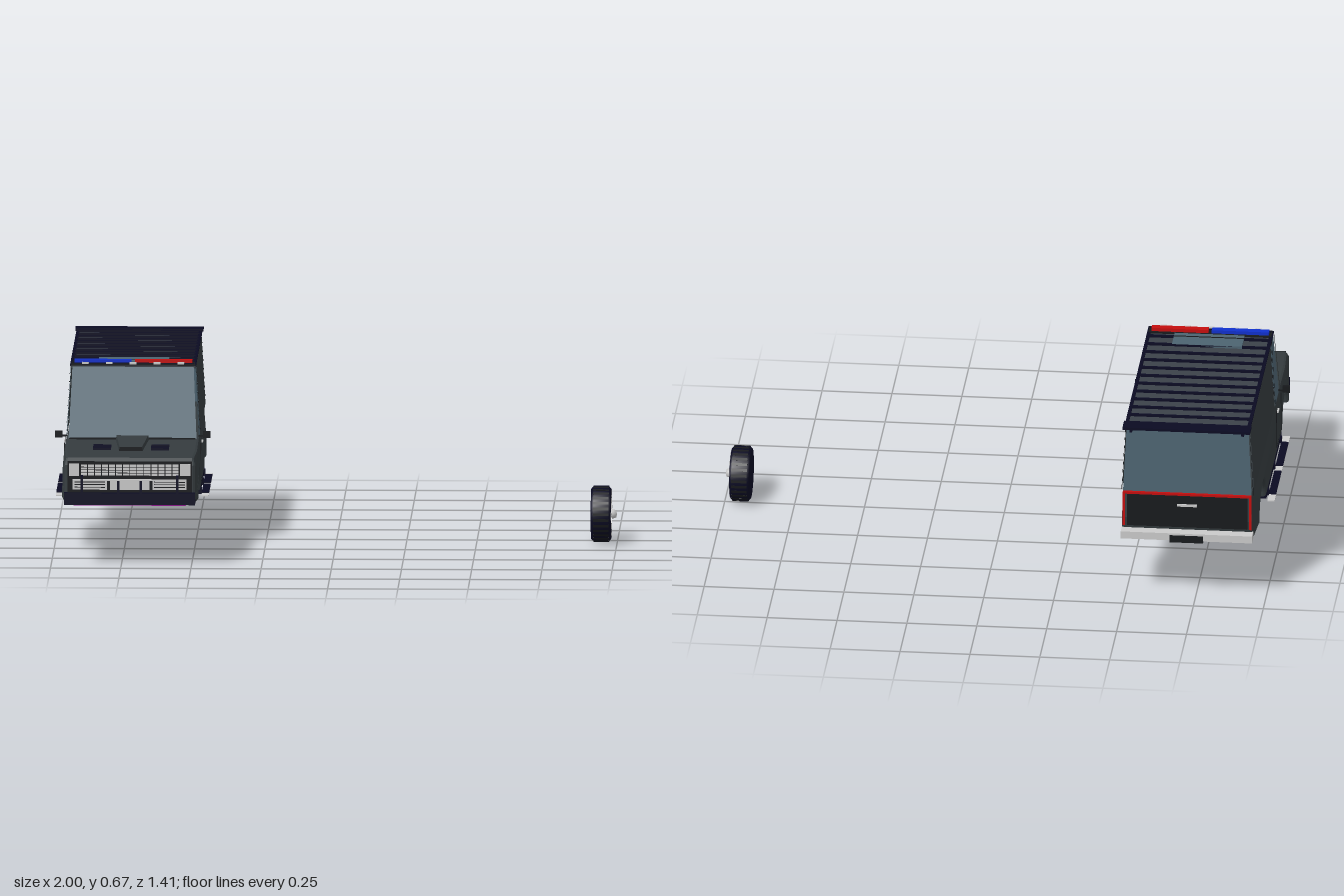
import * as THREE from 'three';

const mat = (name, color) => {
  const m = new THREE.MeshStandardMaterial({ color, side: THREE.DoubleSide });
  m.name = name;
  return m;
};

export function createModel() {
  const body = mat('bodyGrey', 0x343b3e), roofGrey = mat('roofGrey', 0x3b4149);
  const navy = mat('navyBlack', 0x0a0a22), black = mat('trimBlack', 0x17191c);
  const glass = mat('glass', 0x4c6370), silver = mat('silver', 0xc9c9c9);
  const red = mat('red', 0xc40d0d), blue = mat('blue', 0x1030cc), magenta = mat('magenta', 0x8c0a8c);

  const model = new THREE.Group();
  const truck = new THREE.Group();
  truck.name = 'truck';
  truck.position.x = -0.72;
  model.add(truck);

  const add = (name, geo, m, parent = truck) => {
    const mesh = new THREE.Mesh(geo, m);
    mesh.name = name;
    parent.add(mesh);
    return mesh;
  };
  // Box given by its x, y and z ranges
  const box = (name, m, x0, x1, y0, y1, z0, z1) =>
    add(name, new THREE.BoxGeometry(x1 - x0, y1 - y0, z1 - z0)
      .translate((x0 + x1) / 2, (y0 + y1) / 2, (z0 + z1) / 2), m);
  // Flat convex plate from corner points
  const plate = (name, m, pts) => {
    const g = new THREE.BufferGeometry();
    const pos = [];
    for (let i = 1; i < pts.length - 1; i++) pos.push(...pts[0], ...pts[i], ...pts[i + 1]);
    g.setAttribute('position', new THREE.Float32BufferAttribute(pos, 3));
    g.computeVertexNormals();
    return add(name, g, m);
  };
  // Side outline (z, y) extruded across the width
  const across = (shape, width, bevel = 0) => new THREE.ExtrudeGeometry(shape, {
    depth: width - 2 * bevel, bevelEnabled: bevel > 0, bevelSize: bevel,
    bevelThickness: bevel, bevelSegments: 2, curveSegments: 20,
  }).translate(0, 0, bevel - width / 2).rotateY(-Math.PI / 2);

  // Lower body with open wheel arches
  const b = 0.01, archR = 0.127, floorY = 0.231;
  const s = new THREE.Shape();
  s.moveTo(-0.645, floorY);
  for (const z of [-0.383, 0.445]) {
    s.lineTo(z - archR, floorY);
    s.absellipse(z, floorY, archR, 0.104, Math.PI, 0, true);
  }
  s.lineTo(0.645, floorY);
  s.lineTo(0.66, 0.25);
  s.lineTo(0.66, 0.355);
  s.lineTo(0.64, 0.373);
  s.lineTo(0.5, 0.381);
  s.lineTo(0.28, 0.39);
  s.lineTo(-0.65, 0.39);
  s.lineTo(-0.658, 0.3);
  const lower = across(s, 0.486, b);
  // Taper the nose and tail a little in plan, and the sides toward the belt
  const p = lower.attributes.position;
  for (let i = 0; i < p.count; i++) {
    const end = Math.abs(p.getZ(i)) > 0.62 ? 0.965 : 1;
    const top = p.getY(i) > 0.37 ? 0.98 : 1;
    p.setX(i, p.getX(i) * end * top);
  }
  lower.computeVertexNormals();
  add('lowerBody', lower, body);
  for (const z of [-0.383, 0.445]) {
    const w = new THREE.Shape();
    w.absellipse(z, 0.222, 0.121, 0.105, 0, Math.PI, false);
    add('wheelWell', across(w, 0.44), navy);
  }
  box('underFloor', black, -0.2, 0.2, 0.215, 0.224, -0.64, 0.64);

  // Cabin: sides lean inward toward the roof
  const yB = 0.398, yT = 0.648;
  const sx = y => 0.236 - (y - yB) * 0.056;
  for (const d of [-1, 1]) {
    const side = (name, m, zy, out = 0) =>
      plate(name, m, zy.map(([z, y]) => [d * (sx(y) + out), y, z]));
    side('rearSidePanel', body, [[0.105, yB], [-0.633, yB], [-0.633, yT], [0.105, yT]]);
    side('doorWindow', glass, [[0.265, yB], [0.127, yB], [0.127, yT], [0.197, yT]]);
    side('windowFrameRear', black, [[0.13, yB], [0.122, yB], [0.122, yT], [0.13, yT]], 0.002);
    side('centrePillar', black, [[0.117, yB], [0.112, yB], [0.112, yT], [0.117, yT]]);
    side('frontPillar', body, [[0.292, yB], [0.278, yB], [0.202, yT], [0.214, yT]], 0.002);
    side('rearPillar', black, [[-0.65, yB], [-0.664, yB], [-0.656, yT], [-0.65, yT]]);
    // Door seams, handle and mirror
    const x = d * 0.2435, x0 = Math.min(x, x - d * 0.003), x1 = Math.max(x, x - d * 0.003);
    for (const z of [0.115, 0.282]) box('doorSeam', black, x0, x1, 0.245, 0.385, z - 0.0015, z + 0.0015);
    box('doorSeam', black, x0, x1, 0.243, 0.246, 0.115, 0.282);
    const h = d * 0.245;
    box('doorHandle', silver, h - 0.003, h + 0.003, 0.37, 0.377, 0.135, 0.162);
    box('mirrorArm', black, d * 0.25 - 0.015, d * 0.25 + 0.015, 0.404, 0.409, 0.25, 0.256);
    box('mirror', black, d * 0.264 - 0.013, d * 0.264 + 0.013, 0.4, 0.424, 0.248, 0.262);
    // Running boards
    const r = d * 0.259;
    box('runningBoard', silver, r - 0.013, r + 0.013, 0.198, 0.202, -0.255, 0.315);
    for (const [za, zb] of [[-0.2, 0], [0.05, 0.255]])
      box('boardTread', navy, r - 0.013, r + 0.013, 0.202, 0.206, za, zb);
    for (const z of [-0.2, 0.03, 0.26])
      box('boardBracket', navy, d * 0.235 - 0.012, d * 0.235 + 0.012, 0.2, 0.224, z - 0.008, z + 0.008);
    box('sill', navy, d * 0.228 - 0.014, d * 0.228 + 0.014, 0.207, 0.223, -0.25, 0.31);
    box('sillGlow', magenta, d * 0.209 - 0.003, d * 0.209 + 0.003, 0.21, 0.214, -0.24, 0.3);
    // Tail lamps
    box('tailLamp', red, d * 0.226 - 0.004, d * 0.226 + 0.004, 0.27, 0.4, -0.674, -0.667);
  }
  plate('windshield', glass, [[-0.228, yB, 0.285], [0.228, yB, 0.285], [0.216, yT, 0.208], [-0.216, yT, 0.208]]);
  plate('rearWindow', glass, [[-0.23, yB, -0.664], [0.23, yB, -0.664], [0.218, yT, -0.652], [-0.218, yT, -0.652]]);
  box('cowl', black, -0.225, 0.225, 0.394, 0.404, 0.28, 0.297);

  // Roof with cross ribs, hatch and rear spoiler
  box('roof', roofGrey, -0.223, 0.223, 0.642, 0.652, -0.66, 0.208);
  for (const d of [-1, 1]) box('roofRail', navy, d * 0.218 - 0.006, d * 0.218 + 0.006, 0.65, 0.657, -0.655, 0.205);
  for (let i = 0; i < 13; i++) {
    const z = -0.64 + i * 0.0695;
    box('roofRib', navy, -0.216, 0.216, 0.651, 0.66, z - 0.005, z + 0.005);
  }
  box('roofHatch', glass, -0.125, 0.125, 0.652, 0.661, 0.05, 0.148);
  box('hatchBar', black, -0.125, 0.125, 0.655, 0.663, 0.117, 0.121);
  box('spoiler', navy, -0.228, 0.228, 0.655, 0.664, -0.705, -0.645);
  for (const d of [-1, 1]) box('spoilerStay', navy, d * 0.2 - 0.005, d * 0.2 + 0.005, 0.64, 0.657, -0.69, -0.65);

  // Roof light bar and marker lamps
  box('lightBarBase', black, -0.22, 0.22, 0.651, 0.658, 0.155, 0.206);
  box('blueLight', blue, -0.21, -0.006, 0.657, 0.67, 0.162, 0.188);
  box('redLight', red, 0.006, 0.21, 0.657, 0.67, 0.162, 0.188);
  for (let i = -2; i <= 2; i++)
    box('markerLamp', silver, i * 0.085 - 0.012, i * 0.085 + 0.012, 0.657, 0.664, 0.198, 0.209);

  // Hood scoop and louvres
  const top = [[-0.056, 0.414, 0.295], [0.056, 0.414, 0.295], [0.04, 0.404, 0.52], [-0.04, 0.404, 0.52]];
  const base = top.map(([x, , z]) => [x * 1.08, z > 0.4 ? 0.385 : 0.395, z]);
  plate('scoopTop', body, top);
  for (let i = 0; i < 4; i++) {
    const j = (i + 1) % 4;
    plate('scoopSide', i === 2 ? black : body, [top[i], top[j], base[j], base[i]]);
  }
  for (const d of [-1, 1]) for (let i = 0; i < 5; i++) {
    const z = 0.437 + i * 0.017;
    box('hoodLouvre', navy, d * 0.103 - 0.032, d * 0.103 + 0.032, 0.385, 0.401 - i * 0.0007, z - 0.004, z + 0.004);
  }

  // Front: grille, lamps, bumper and push bar
  box('grilleBack', black, -0.222, 0.222, 0.262, 0.372, 0.66, 0.673);
  for (let r = 0; r < 4; r++) for (let c = 0; c < 14; c++) {
    const x = -0.163 + c * 0.0251, y = 0.327 + r * 0.0105;
    box('grilleCell', silver, x - 0.011, x + 0.011, y - 0.004, y + 0.004, 0.672, 0.677);
  }
  for (const d of [-1, 1]) {
    box('headlamp', silver, d * 0.198 - 0.018, d * 0.198 + 0.018, 0.322, 0.365, 0.672, 0.678);
    box('lowerLamp', silver, d * 0.142 - 0.061, d * 0.142 + 0.061, 0.272, 0.309, 0.672, 0.677);
    for (const y of [0.281, 0.291, 0.3])
      box('lampBar', black, d * 0.142 - 0.055, d * 0.142 + 0.055, y - 0.0015, y + 0.0015, 0.676, 0.679);
    box('pushBarPost', navy, d * 0.17 - 0.004, d * 0.17 + 0.004, 0.24, 0.322, 0.696, 0.704);
    box('pushBarArm', navy, d * 0.17 - 0.004, d * 0.17 + 0.004, 0.316, 0.324, 0.665, 0.704);
    box('pushBarPost', navy, d * 0.04 - 0.004, d * 0.04 + 0.004, 0.24, 0.31, 0.694, 0.7);
  }
  box('lowerGrilleCentre', silver, -0.07, 0.07, 0.272, 0.309, 0.672, 0.677);
  box('pushBarRail', silver, -0.17, 0.17, 0.308, 0.313, 0.695, 0.703);
  box('frontBumper', navy, -0.233, 0.233, 0.22, 0.262, 0.64, 0.695);
  box('frontGlow', magenta, -0.2, 0.2, 0.217, 0.221, 0.685, 0.69);

  // Rear: tailgate trim and bumper
  box('tailgate', black, -0.215, 0.215, 0.27, 0.39, -0.671, -0.66);
  box('tailStrip', red, -0.23, 0.23, 0.393, 0.401, -0.674, -0.66);
  box('tailgateHandle', silver, -0.035, 0.035, 0.352, 0.36, -0.677, -0.67);
  box('rearBumper', silver, -0.235, 0.235, 0.23, 0.257, -0.7, -0.655);
  box('bumperStep', black, -0.06, 0.06, 0.224, 0.25, -0.704, -0.67);

  // Spare wheel standing apart, face toward +x
  const wheel = new THREE.Group();
  wheel.name = 'spareWheel';
  wheel.position.set(0.943, 0.1, 0.028);
  model.add(wheel);
  const ring = (name, m, pts) => add(name, new THREE.LatheGeometry(
    pts.map(([r, x]) => new THREE.Vector2(r, x)), 40).rotateZ(-Math.PI / 2), m, wheel);
  ring('tyre', navy, [[0, -0.03], [0.06, -0.03], [0.066, -0.036], [0.09, -0.036], [0.1, -0.026],
    [0.1, 0.026], [0.09, 0.035], [0.064, 0.035], [0.06, 0.026], [0, 0.02]]);
  ring('whitewall', silver, [[0.066, 0.0355], [0.088, 0.0365]]);
  ring('rim', silver, [[0.058, 0.034], [0.053, 0.036], [0.046, 0.027], [0.025, 0.03], [0, 0.03]]);
  ring('hub', silver, [[0.02, 0.029], [0.017, 0.042], [0.013, 0.053], [0, 0.056]]);
  for (let i = 0; i < 5; i++) {
    const spoke = add('spoke', new THREE.BoxGeometry(0.008, 0.026, 0.01).translate(0.034, 0.026, 0), silver, wheel);
    spoke.rotation.x = i * Math.PI * 0.4;
  }
  for (let i = 0; i < 30; i++) {
    const lug = add('treadBlock', new THREE.BoxGeometry(0.056, 0.003, 0.01).translate(0, 0.0985, 0), black, wheel);
    lug.rotation.x = i * Math.PI / 15;
  }
  return model;
}
